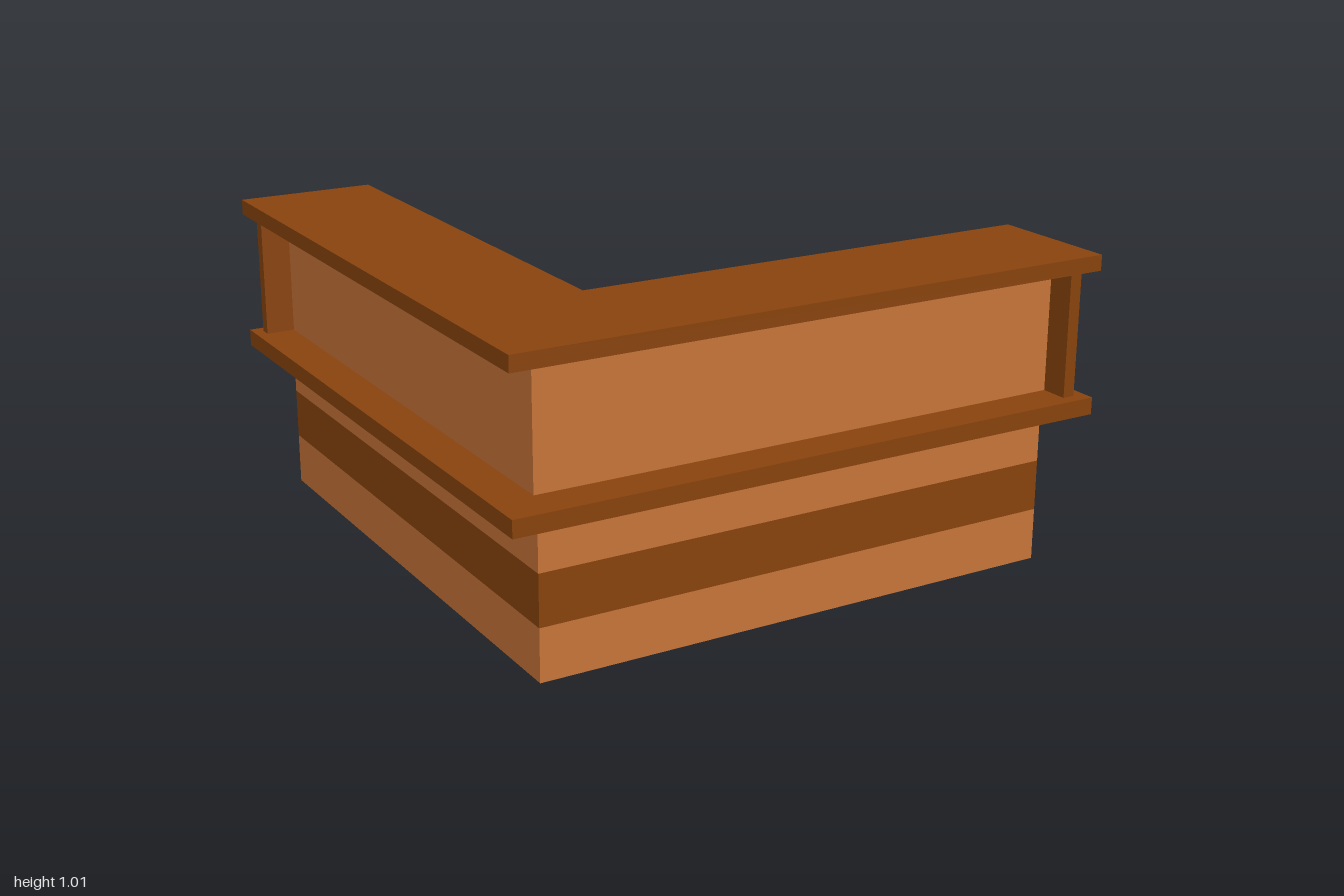
import * as THREE from 'three';

const darkWood = new THREE.MeshStandardMaterial({ color: 0x8a440d });
darkWood.name = 'darkWood';
const lightWood = new THREE.MeshStandardMaterial({ color: 0xc87539 });
lightWood.name = 'lightWood';

// Extrudes a floor plan, given as [x, z] corners, from height y0 to y1
function slab(name, plan, y0, y1, material) {
  const shape = new THREE.Shape(plan.map(([x, z]) => new THREE.Vector2(x, -z)));
  const geometry = new THREE.ExtrudeGeometry(shape, { depth: y1 - y0, bevelEnabled: false });
  geometry.rotateX(-Math.PI / 2);
  const mesh = new THREE.Mesh(geometry, material);
  mesh.name = name;
  mesh.position.y = y0;
  return mesh;
}

// L-shaped plan: corner at front -x, arms reaching xEnd and zEnd
function lPlan(xOut, zOut, xIn, zIn, xEnd, zEnd) {
  return [[xOut, zOut], [xEnd, zOut], [xEnd, zIn], [xIn, zIn], [xIn, zEnd], [xOut, zEnd]];
}

function rectPlan(x0, x1, z0, z1) {
  return [[x0, z1], [x1, z1], [x1, z0], [x0, z0]];
}

export function createModel() {
  const group = new THREE.Group();
  group.name = 'cornerCounter';

  // Base wall with a return at each end, in three stacked bands
  const basePlan = [
    [0.9, 0.35], [0.9, 0.88], [-0.865, 0.88], [-0.865, -0.95], [-0.045, -0.95],
    [-0.045, -0.91], [-0.825, -0.91], [-0.825, 0.84], [0.86, 0.84], [0.86, 0.35],
  ].reverse();
  group.add(
    slab('baseLower', basePlan, 0, 0.168, lightWood),
    slab('baseStripe', basePlan, 0.168, 0.332, darkWood),
    slab('baseUpper', basePlan, 0.332, 0.505, lightWood),
  );

  // Work surface and raised shelf top
  group.add(
    slab('workSurface', lPlan(-1, 1, 0, 0.28, 1, -1), 0.505, 0.56, darkWood),
    slab('shelfTop', lPlan(-1, 1, -0.545, 0.56, 1, -1), 0.965, 1.015, darkWood),
  );

  // Screen between the surfaces, closed by a dark panel at each end
  group.add(
    slab('screen', lPlan(-0.87, 0.87, -0.83, 0.83, 0.92, -0.925), 0.56, 0.965, lightWood),
    slab('sideEndPanel', rectPlan(0.92, 0.96, 0.645, 0.96), 0.56, 0.965, darkWood),
    slab('backEndPanel', rectPlan(-0.965, -0.645, -0.965, -0.925), 0.56, 0.965, darkWood),
  );
  return group;
}
